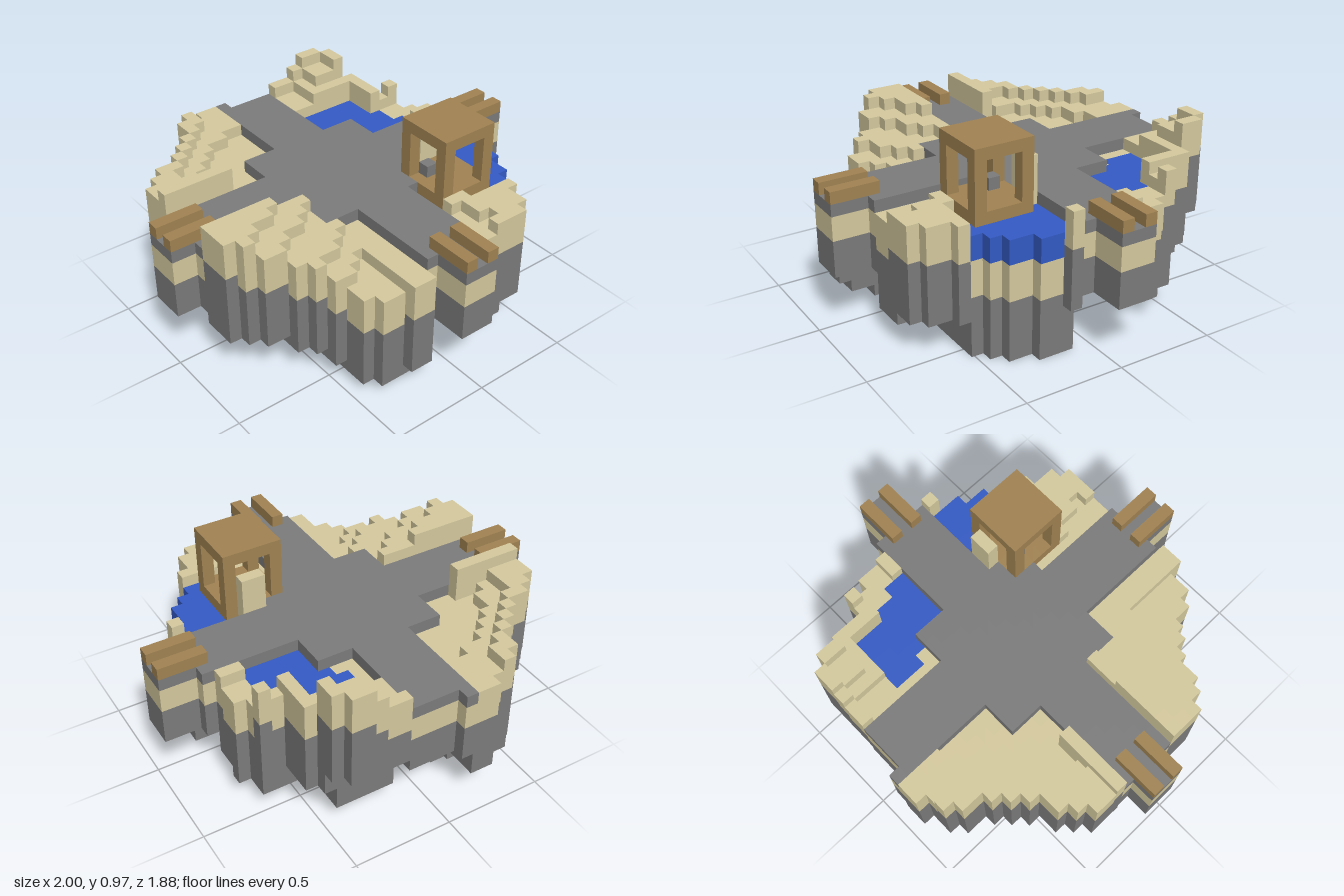
import * as THREE from 'three';

const NX = 33, NY = 16, NZ = 31, U = 2 / NX;

const flat = (name, color) => {
  const m = new THREE.MeshStandardMaterial({ color });
  m.name = name;
  return m;
};

// First and last column of the round island in each row, back to front
const WEST = [12, 10, 9, 9, 8, 7, 6, 4, 3, 2, 2, 2, 2, 2, 2, 2, 2, 2, 2, 2, 3, 4, 6, 7, 8, 9, 9, 10, 12];
const EAST = [14, 23, 24, 24, 25, 25, 25, 27, 27, 28, 28, 28, 29, 29, 29, 29, 29, 29, 28, 28, 27, 27, 26, 25, 25, 24, 24, 23, 13];
// Ponds: row -> first and last column
const POND_BACK = { 5: [20, 24], 6: [20, 24], 7: [20, 24], 8: [21, 25], 9: [22, 25], 10: [22, 26], 11: [22, 26] };
const POND_FRONT = { 17: [24, 28], 18: [25, 28], 19: [25, 28], 20: [25, 27], 21: [25, 27], 22: [25, 26], 23: [22, 25] };

const within = (v, a, b) => v >= a && v <= b;
const inPond = (pond, i, k) => pond[k] !== undefined && within(i, ...pond[k]);
const radius = (i, k) => Math.hypot(i - 16, k - 14);

// Height of the sand, in blocks
function sandTop(i, k) {
  if (i < 16 && k > 14) { // front right plateau, falling towards the front
    const s = i - 2 + 1.5 * (k - 17);
    if (i >= 12) return 10;
    return s < 6 ? 13 : s < 9.5 ? 12 : s < 15 ? 11 : s < 18 ? 10 : 9;
  }
  if (i < 16) { // back right rim, falling towards the middle
    const r = radius(i, k);
    if (k === 11 && i <= 7) return 13;
    return r > 12.6 && i <= 10 ? 12 : r > 11 ? 11 : 10;
  }
  if (k < 14) { // back left dunes
    if (k <= 1) return [12, 12, 13, 14, 14][i - 19];
    if (k <= 3) return [11, 11, 12, 13, 13, 14][i - 19];
    if (k === 4) return i < 21 ? 11 : 12;
    if (k <= 7 && i >= 25) return i === 26 ? 11 : 12;
    return i <= 21 || within(k, 8, 10) ? 10 : 11;
  }
  if (k === 17) return i <= 23 ? 14 : 12; // front left
  if (within(i, 20, 24) && within(k, 18, 22)) return 10;
  return i <= 19 + (k >= 24) + (k === 26) ? 10 : 11;
}

// Height of the underside of the four legs, in blocks
function underside(i, k) {
  if (i < 16) {
    const side = i >= 10 ? 0 : i === 9 ? 1 : i === 8 ? 2 : i >= 6 ? 3 : 4;
    const end = k <= 2 ? 3 : k <= 4 ? 2 : k >= 28 ? 2 : k >= 26 ? 1 : 0;
    const stairs = k < 14 ? Math.min(3, Math.ceil(radius(i, k) - 10)) : 0;
    return Math.max(side, end, stairs);
  }
  if (k < 14) { // shallow back left leg under an overhanging rim
    if (k <= 2) return 6;
    if (i <= 23) return 2;
    return k <= 6 ? 4 : k <= 9 ? 2 : 3;
  }
  if (i === 19) return 2;
  if (i === 29) return 4;
  return k >= 24 ? (i <= 21 ? 2 : 3) : 0;
}

function fillBlocks() {
  const cells = new Map();
  const key = (i, j, k) => (k * NY + j) * NX + i;
  const box = (part, i0, i1, j0, j1, k0, k1) => { // inclusive columns and rows, layers j0 up to j1
    for (let k = k0; k <= k1; k++) for (let j = j0; j < j1; j++) for (let i = i0; i <= i1; i++) cells.set(key(i, j, k), part);
  };
  const layer = (part, i, k, j0, j1) => box(part, i, i, j0, j1, k, k);

  // Island columns
  for (let k = 0; k < WEST.length; k++) {
    for (let i = WEST[k]; i <= EAST[k]; i++) {
      const arm = within(i, 14, 18) || within(k, 12, 16);
      const road = arm || (within(i, 11, 21) && within(k, 9, 19));
      const low = road ? 5 : underside(i, k);
      if (road) {
        layer('rock', i, k, low, 8);
        layer('sand', i, k, 8, 10);
        layer('road', i, k, 10, 11);
      } else if (inPond(POND_BACK, i, k) || inPond(POND_FRONT, i, k)) {
        layer('rock', i, k, low, 5);
        layer('sand', i, k, 5, 8);
        layer('water', i, k, 8, 10);
      } else {
        const top = sandTop(i, k);
        const seam = k === 17 && i > 16 ? 9 : top === 13 && i > 2 && k > 14 ? 9 : top - 3;
        layer('rock', i, k, low, seam);
        layer('sand', i, k, seam, top);
      }
    }
  }

  // Bridge stubs with wooden rails
  for (const [i0, i1, k0, k1] of [[0, 1, 13, 15], [30, 32, 13, 15], [15, 17, 28, 30]]) {
    box('rock', i0, i1, 5, 8, k0, k1);
    box('sand', i0, i1, 8, 10, k0, k1);
    box('road', i0, i1, 10, 11, k0, k1);
  }
  for (const k of [13, 15]) {
    box('bridgeRails', 0, 3, 11, 12, k, k);
    box('bridgeRails', 29, 32, 11, 12, k, k);
  }
  for (const i of [15, 17]) box('bridgeRails', i, i, 11, 12, 27, 30);

  // Open tower: floor, four posts, roof
  box('tower', 20, 24, 10, 11, 18, 22);
  for (const i of [20, 24]) for (const k of [18, 22]) layer('tower', i, k, 11, 15);
  box('tower', 20, 24, 15, 16, 18, 22);
  layer('rock', 21, 19, 11, 12);

  return (i, j, k) =>
    within(i, 0, NX - 1) && within(j, 0, NY - 1) && within(k, 0, NZ - 1) ? cells.get(key(i, j, k)) : undefined;
}

// Outer block faces of one part
function blockGeometry(get, part) {
  const pos = [], nor = [], idx = [];
  for (let k = 0; k < NZ; k++) for (let j = 0; j < NY; j++) for (let i = 0; i < NX; i++) {
    if (get(i, j, k) !== part) continue;
    for (let axis = 0; axis < 3; axis++) for (const dir of [-1, 1]) {
      const n = [0, 0, 0];
      n[axis] = dir;
      if (get(i + n[0], j + n[1], k + n[2])) continue;
      const a = (axis + 1) % 3, b = (axis + 2) % 3, start = pos.length / 3;
      for (const [s, t] of [[0, 0], [1, 0], [1, 1], [0, 1]]) {
        const p = [i, j, k];
        p[axis] += dir > 0 ? 1 : 0;
        p[a] += s;
        p[b] += t;
        pos.push((p[0] - NX / 2) * U, p[1] * U, (p[2] - NZ / 2) * U);
        nor.push(...n);
      }
      const order = dir > 0 ? [0, 1, 2, 0, 2, 3] : [0, 2, 1, 0, 3, 2];
      idx.push(...order.map((o) => start + o));
    }
  }
  const g = new THREE.BufferGeometry();
  g.setAttribute('position', new THREE.Float32BufferAttribute(pos, 3));
  g.setAttribute('normal', new THREE.Float32BufferAttribute(nor, 3));
  g.setIndex(idx);
  return g;
}

export function createModel() {
  const stone = flat('stone grey', 0x7c7c7c);
  const sand = flat('sand', 0xd6cb9f);
  const wood = flat('wood brown', 0xa28453);
  const water = flat('water blue', 0x345bc6);
  const parts = { rock: stone, road: stone, sand, water, tower: wood, bridgeRails: wood };

  const model = new THREE.Group();
  model.name = 'island';
  const get = fillBlocks();
  for (const [name, material] of Object.entries(parts)) {
    const mesh = new THREE.Mesh(blockGeometry(get, name), material);
    mesh.name = name;
    model.add(mesh);
  }
  return model;
}
